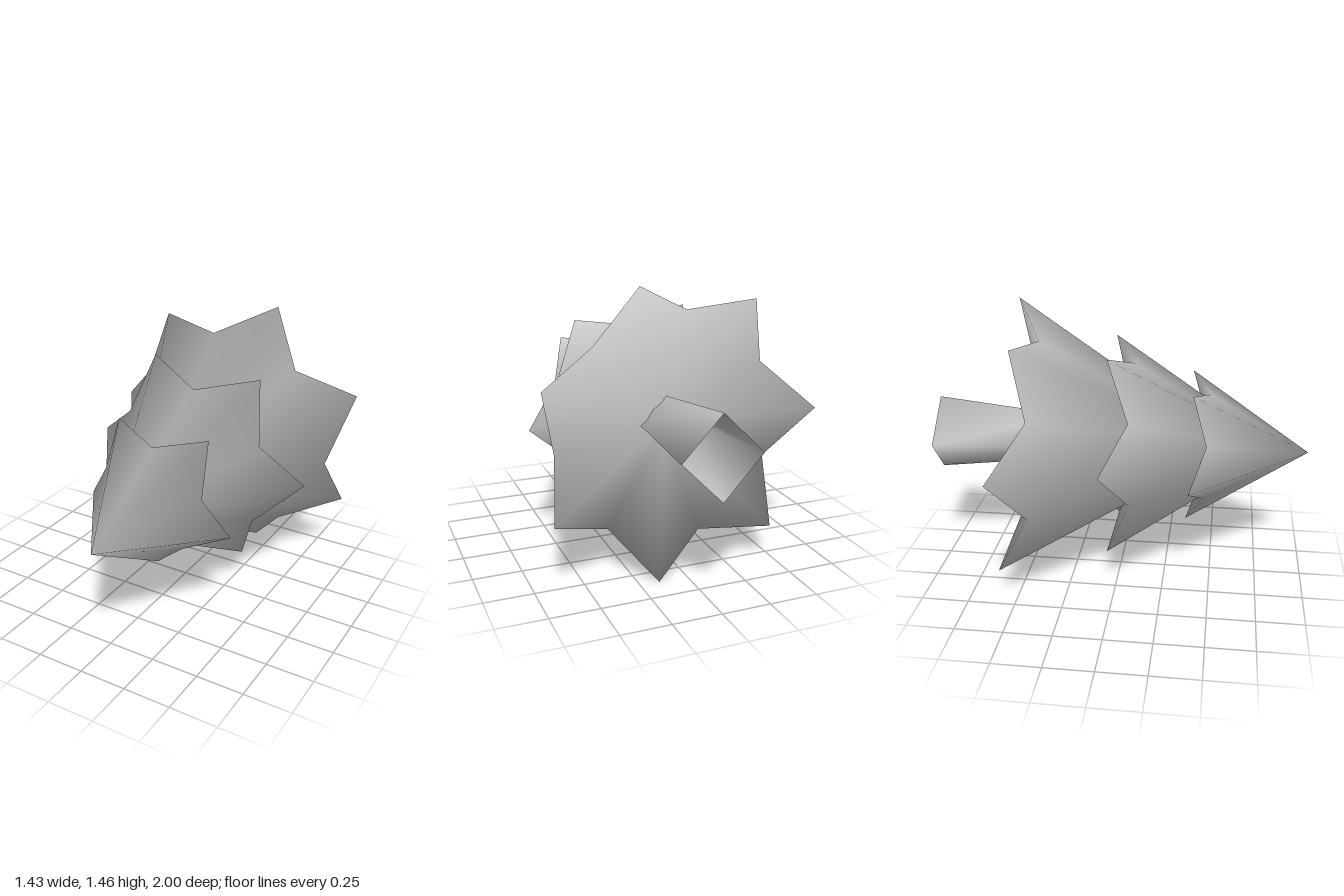
import * as THREE from 'three';

// Smooth mesh whose vertex normals weigh every adjoining face equally
function smoothMesh(name, material, points, index) {
  const corners = points.map((p) => new THREE.Vector3(...p));
  const normals = points.map(() => new THREE.Vector3());
  const faceNormal = new THREE.Vector3();
  for (let i = 0; i < index.length; i += 3) {
    const face = index.slice(i, i + 3);
    new THREE.Triangle(...face.map((k) => corners[k])).getNormal(faceNormal);
    face.forEach((k) => normals[k].add(faceNormal));
  }
  const flat = normals.flatMap((n) => n.normalize().toArray());
  const geometry = new THREE.BufferGeometry();
  geometry.setAttribute('position', new THREE.Float32BufferAttribute(points.flat(), 3));
  geometry.setAttribute('normal', new THREE.Float32BufferAttribute(flat, 3));
  geometry.setIndex(index);
  const mesh = new THREE.Mesh(geometry, material);
  mesh.name = name;
  return mesh;
}

// Foliage tier: star rim (clockwise seen from +z) joined to a tip and to a shallow underside
function tier(name, material, tip, rim, base) {
  const n = rim.length;
  const index = [];
  for (let i = 0; i < n; i++) {
    const j = (i + 1) % n;
    index.push(n, j, i, n + 1, i, j);
  }
  return smoothMesh(name, material, [...rim, tip, base], index);
}

// Open tube between two rings (clockwise seen from +z)
function tube(name, material, front, back) {
  const n = front.length;
  const index = [];
  for (let i = 0; i < n; i++) {
    const j = (i + 1) % n;
    index.push(i, j, n + i, j, n + j, n + i);
  }
  return smoothMesh(name, material, [...front, ...back], index);
}

export function createModel() {
  const group = new THREE.Group();
  group.name = 'lyingTree';
  const grey = new THREE.MeshStandardMaterial({ color: 0xc0c0c0, side: THREE.DoubleSide });
  grey.name = 'plain grey';

  // Rims alternate between a branch point and a notch
  const smallRim = [
    [-0.155, 1.07, 0.385], [0.09, 1.0, 0.47],
    [0.34, 1.05, 0.365], [0.355, 0.78, 0.455],
    [0.46, 0.55, 0.35], [0.235, 0.465, 0.44],
    [0.04, 0.285, 0.355], [-0.11, 0.485, 0.45],
    [-0.34, 0.61, 0.38], [-0.195, 0.815, 0.46],
  ];
  const middleRim = [
    [-0.21, 1.265, -0.045], [0.085, 1.16, 0.065],
    [0.39, 1.225, -0.07], [0.45, 0.915, 0.04],
    [0.65, 0.685, -0.1], [0.42, 0.475, 0.03],
    [0.31, 0.19, -0.09], [0.03, 0.285, 0.03],
    [-0.285, 0.23, -0.04], [-0.335, 0.53, 0.08],
    [-0.545, 0.77, -0.05], [-0.305, 0.965, 0.07],
  ];
  const largeRim = [
    [-0.4, 1.35, -0.49], [-0.065, 1.305, -0.415],
    [0.24, 1.455, -0.58], [0.42, 1.165, -0.44],
    [0.715, 1.02, -0.61], [0.62, 0.66, -0.45],
    [0.675, 0.375, -0.625], [0.36, 0.25, -0.45],
    [0.15, 0, -0.61], [-0.135, 0.165, -0.44],
    [-0.475, 0.185, -0.58], [-0.51, 0.51, -0.41],
    [-0.72, 0.785, -0.56], [-0.48, 1.015, -0.405],
  ];

  // Foliage tiers from the tip back to the trunk
  group.add(tier('tipFoliage', grey, [0.1, 0.69, 1], smallRim, [0.07, 0.71, 0.5]));
  group.add(tier('middleFoliage', grey, [0.07, 0.715, 0.85], middleRim, [0.06, 0.72, 0.1]));
  group.add(tier('lowerFoliage', grey, [0.05, 0.72, 0.6], largeRim, [0.03, 0.74, -0.38]));

  // Four-sided hollow trunk, wider at the foot
  const diamond = (x, y, z, r, tilt) => [
    [x, y + r, z + tilt], [x + r, y, z], [x, y - r, z], [x - r, y, z + tilt],
  ];
  group.add(tube('trunk', grey,
    diamond(0.035, 0.745, -0.3, 0.125, 0), diamond(0.01, 0.75, -1, 0.205, 0.015)));
  return group;
}
